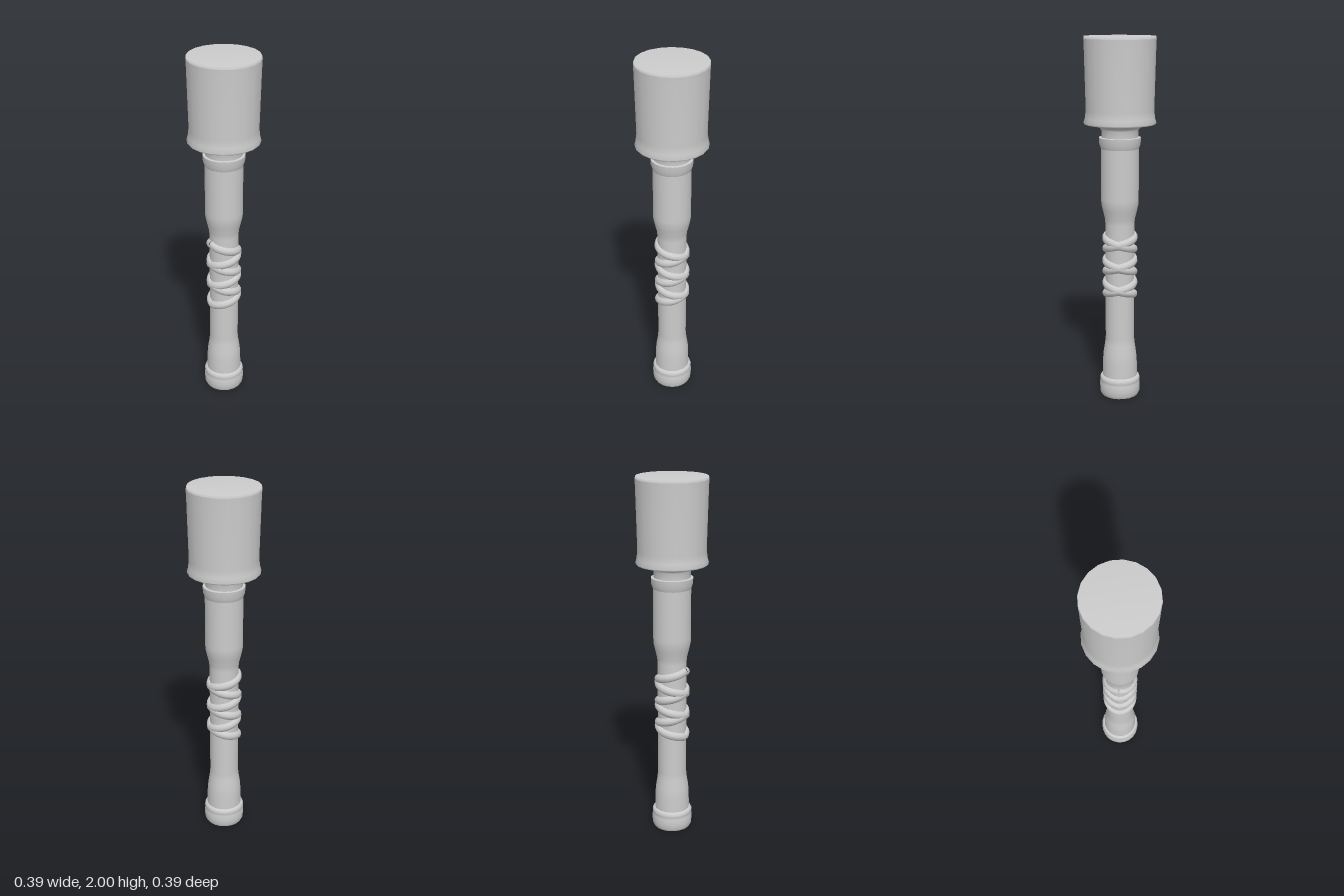
import * as THREE from 'three';

const SIDES = 20;
const material = new THREE.MeshStandardMaterial({ color: 0xcccccc });

// Turned part from [radius, height] pairs, bottom to top; a repeated pair keeps an edge sharp
function turned(name, profile) {
  const points = profile.map(([r, y]) => new THREE.Vector2(r, y));
  const mesh = new THREE.Mesh(new THREE.LatheGeometry(points, SIDES), material);
  mesh.name = name;
  return mesh;
}

// Descending helix around the handle, starting at -x
class Helix extends THREE.Curve {
  constructor(direction, radius, top, bottom, turns) {
    super();
    Object.assign(this, { direction, radius, top, bottom, turns });
  }
  getPoint(t, target = new THREE.Vector3()) {
    const a = t * this.turns * Math.PI * 2;
    return target.set(
      -Math.cos(a) * this.radius,
      THREE.MathUtils.lerp(this.top, this.bottom, t),
      Math.sin(a) * this.radius * this.direction
    );
  }
}

export function createModel() {
  const model = new THREE.Group();
  model.name = 'stickWithHead';

  // Rounded end cap at the foot
  model.add(turned('endCap', [
    [0, 0], [0.103, 0], [0.103, 0], [0.111, 0.015], [0.113, 0.04], [0.113, 0.07],
    [0.108, 0.078], [0.112, 0.086], [0.112, 0.1], [0.106, 0.112], [0.095, 0.115],
  ]));

  // Handle with a slim grip
  model.add(turned('handle', [
    [0.097, 0.1], [0.096, 0.2], [0.092, 0.25], [0.084, 0.3], [0.08, 0.34],
    [0.08, 0.99], [0.083, 1.02], [0.094, 1.065], [0.102, 1.1], [0.103, 1.13],
    [0.103, 1.43],
  ]));

  // Collar and neck under the head
  model.add(turned('collar', [
    [0.103, 1.405], [0.112, 1.43], [0.114, 1.465], [0.114, 1.465],
    [0.1, 1.467], [0.1, 1.467], [0.1, 1.505], [0.11, 1.517], [0.137, 1.537],
  ]));

  // Cylindrical head with a flared lower rim
  model.add(turned('head', [
    [0, 1.537], [0.19, 1.537], [0.19, 1.537], [0.196, 1.545], [0.189, 1.57],
    [0.184, 1.61], [0.192, 1.94], [0.194, 1.985], [0.194, 1.985],
    [0.191, 2], [0, 2],
  ]));

  // Two cords crossing each other around the grip
  const wrap = new THREE.Group();
  wrap.name = 'gripWrap';
  for (const direction of [1, -1]) {
    const path = new Helix(direction, 0.073, 0.945, 0.56, 3);
    const cord = new THREE.Mesh(new THREE.TubeGeometry(path, 72, 0.025, 10), material);
    cord.name = direction > 0 ? 'cordA' : 'cordB';
    wrap.add(cord);
  }
  model.add(wrap);

  return model;
}
